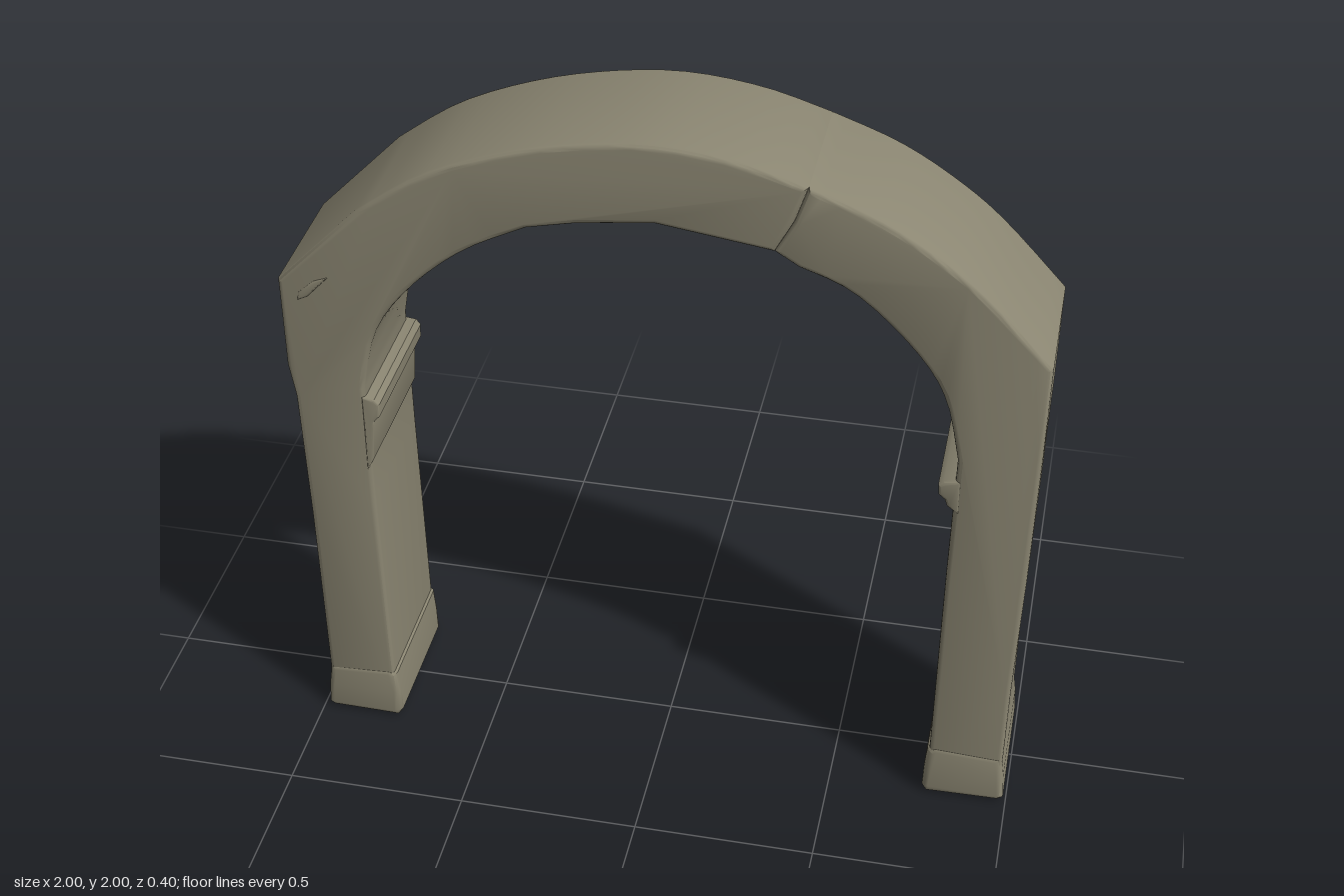
import * as THREE from 'three';
import { toCreasedNormals } from 'three/addons/utils/BufferGeometryUtils.js';

const v = (pts) => pts.map(([x, y]) => new THREE.Vector2(x, y));

// Extrude an outline along z, centred, with softened edges that stay inside the outline
function slab(shape, depth, bevel) {
  const geo = new THREE.ExtrudeGeometry(shape, {
    depth: depth - 2 * bevel, curveSegments: 3, bevelEnabled: true,
    bevelSize: bevel, bevelThickness: bevel, bevelOffset: -bevel, bevelSegments: 3,
  });
  geo.translate(0, 0, -depth / 2 + bevel);
  return toCreasedNormals(geo, 0.6);
}

export function createModel() {
  const stone = new THREE.MeshStandardMaterial({ color: 0x8b8672 });
  stone.name = 'weathered stone';
  const model = new THREE.Group();
  model.name = 'stoneArch';
  const add = (name, geo) => {
    const mesh = new THREE.Mesh(geo, stone);
    mesh.name = name;
    model.add(mesh);
    return mesh;
  };

  // Left pier and haunch, up to the joint beside the keystone
  const left = new THREE.Shape();
  left.moveTo(0.775, 0.05);
  left.lineTo(0.98, 0.05);
  left.lineTo(0.982, 0.4);
  left.lineTo(0.992, 0.8);
  left.lineTo(0.998, 1.2);
  left.lineTo(1, 1.485);
  left.splineThru(v([[0.83, 1.665], [0.7, 1.77], [0.55, 1.86], [0.376, 1.927]]));
  left.lineTo(0.345, 1.83);
  left.lineTo(0.298, 1.738);
  left.lineTo(0.36, 1.7);
  left.splineThru(v([[0.5, 1.64], [0.65, 1.5], [0.74, 1.36], [0.785, 1.17]]));
  left.lineTo(0.78, 0.8);
  add('leftArchHalf', slab(left, 0.398, 0.014));

  // Right pier, haunch and keystone in one run
  const right = new THREE.Shape();
  right.moveTo(0.376, 1.927);
  right.splineThru(v([[0.2, 1.978], [0, 2], [-0.2, 1.98], [-0.4, 1.93], [-0.6, 1.845], [-0.77, 1.725]]));
  right.lineTo(-1, 1.49);
  right.lineTo(-1, 1.22);
  right.lineTo(-0.985, 1.12);
  right.lineTo(-0.976, 0.72);
  right.lineTo(-0.97, 0.05);
  right.lineTo(-0.775, 0.05);
  right.lineTo(-0.787, 0.8);
  right.lineTo(-0.79, 1.17);
  right.splineThru(v([[-0.75, 1.35], [-0.65, 1.5], [-0.5, 1.635], [-0.33, 1.727]]));
  right.lineTo(-0.2, 1.756);
  right.lineTo(0, 1.78);
  right.lineTo(0.298, 1.738);
  right.lineTo(0.345, 1.83);
  add('rightArchHalf', slab(right, 0.398, 0.014));

  // Flared foot blocks
  for (const side of [1, -1]) {
    const outer = side > 0 ? 0.992 : 0.985;
    const foot = new THREE.Shape(v([
      [0.762, 0.02], [0.775, 0], [outer - 0.015, 0.004], [outer, 0.015], [outer - 0.005, 0.09],
      [outer - 0.016, 0.165], [0.79, 0.175], [0.77, 0.16], [0.764, 0.09],
    ].map(([x, y]) => [x * side, y])));
    add(side > 0 ? 'leftFoot' : 'rightFoot', slab(foot, 0.404, 0.018));
  }

  // Impost mouldings on the inner pier faces
  const leftImpost = new THREE.Shape(v([
    [0.8, 1.11], [0.755, 1.102], [0.741, 1.09], [0.743, 1.06], [0.76, 1.045], [0.767, 1.025], [0.8, 1],
  ]));
  add('leftImpost', slab(leftImpost, 0.4, 0.008));
  const rightImpost = new THREE.Shape(v([
    [-0.8, 1.145], [-0.765, 1.14], [-0.752, 1.125], [-0.754, 1.085], [-0.772, 1.065], [-0.78, 0.94], [-0.8, 0.9],
  ]));
  add('rightImpost', slab(rightImpost, 0.4, 0.006));

  // Small chipped ridge on the right shoulder
  const chip = new THREE.Shape(v([[-0.95, 1.435], [-0.92, 1.45], [-0.86, 1.515], [-0.9, 1.5], [-0.945, 1.46]]));
  add('shoulderChip', slab(chip, 0.02, 0.005)).position.z = 0.192;

  return model;
}
